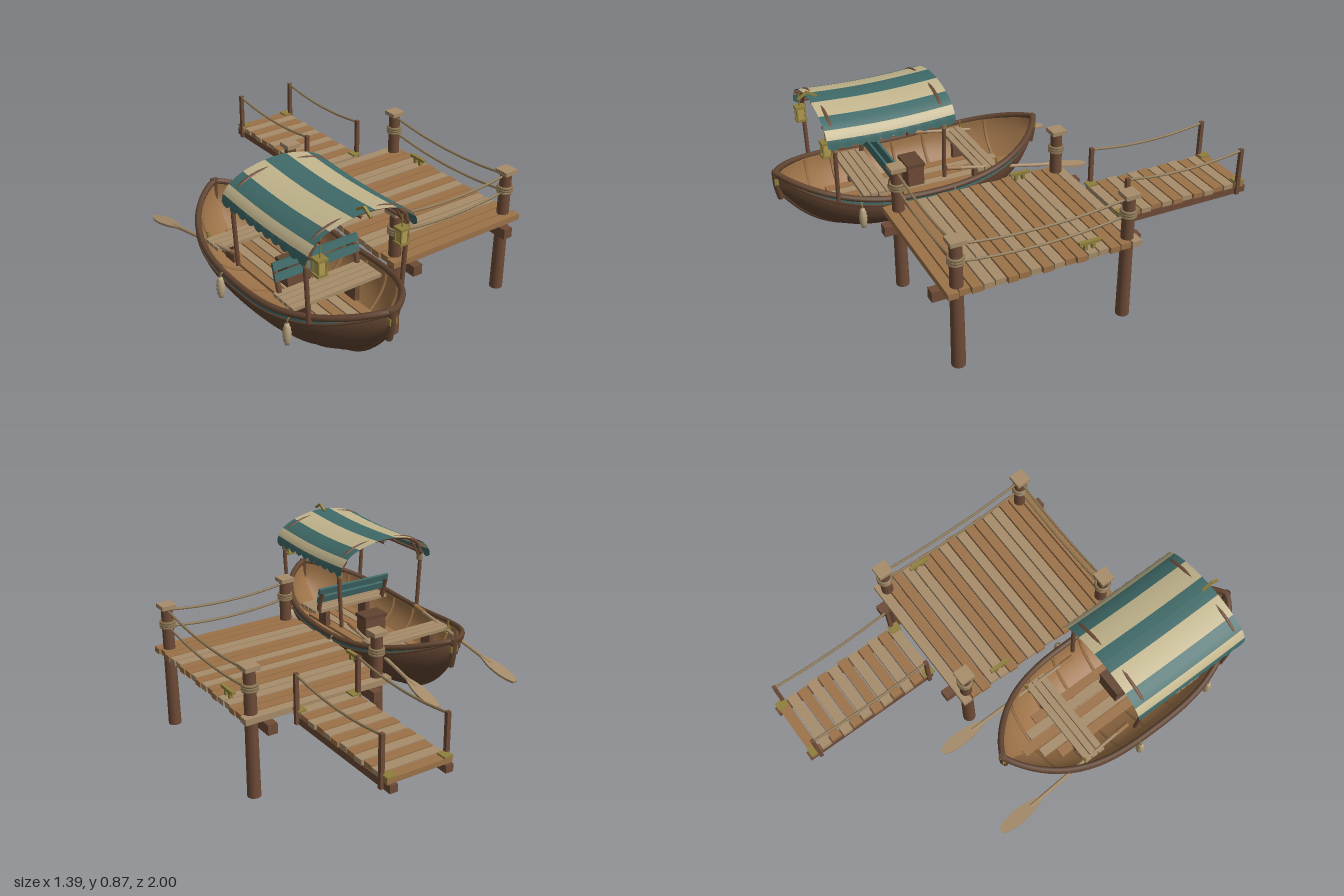
import * as THREE from 'three';

const mat = (name, color, side = THREE.FrontSide) => {
  const m = new THREE.MeshStandardMaterial({ color, side });
  m.name = name;
  return m;
};
const V = (x, y, z) => new THREE.Vector3(x, y, z);

export function createModel() {
  const D = THREE.DoubleSide;
  const post = mat('post wood', 0x6e4b37), hullWood = mat('hull wood', 0x614431, D);
  const warm = mat('warm plank', 0x9c7248, D), pale = mat('pale plank', 0xa68c6a);
  const teal = mat('teal', 0x3f6a68, D), cream = mat('cream cloth', 0xc2b58d, D);
  const brass = mat('brass', 0x8f7f3c), rope = mat('rope', 0x8c7653);
  const glass = mat('lantern glass', 0xb09c50), fenderMat = mat('fender rope', 0xb5a27f);

  const model = new THREE.Group();
  const add = (parent, name, geo, m, x = 0, y = 0, z = 0) => {
    const mesh = new THREE.Mesh(geo, m);
    mesh.name = name;
    mesh.position.set(x, y, z);
    parent.add(mesh);
    return mesh;
  };
  const box = (p, name, m, w, h, d, x, y, z) => add(p, name, new THREE.BoxGeometry(w, h, d), m, x, y, z);
  const tube = (p, name, m, pts, r, seg = 20, sides = 7) =>
    add(p, name, new THREE.TubeGeometry(new THREE.CatmullRomCurve3(pts), seg, r, sides), m);
  const sagRope = (p, a, b, sag) => {
    const mid = a.clone().lerp(b, 0.5);
    mid.y -= sag;
    const q = t => { const v = a.clone().lerp(b, t); v.y -= sag * 4 * t * (1 - t); return v; };
    tube(p, 'railRope', rope, [a, q(0.25), mid, q(0.75), b], 0.006);
  };
  // Surface from a rule f(u, v) with u and v running 0..1
  const grid = (p, name, m, nu, nv, f) => {
    const pos = [], idx = [];
    for (let i = 0; i <= nu; i++) for (let j = 0; j <= nv; j++) pos.push(...f(i / nu, j / nv).toArray());
    for (let i = 0; i < nu; i++) for (let j = 0; j < nv; j++) {
      const a = i * (nv + 1) + j, b = a + nv + 1;
      idx.push(a, b, a + 1, b, b + 1, a + 1);
    }
    const g = new THREE.BufferGeometry();
    g.setAttribute('position', new THREE.Float32BufferAttribute(pos, 3));
    g.setIndex(idx);
    g.computeVertexNormals();
    return add(p, name, g, m);
  };

  // ---- Dock ----
  const dock = new THREE.Group();
  dock.name = 'dock';
  model.add(dock);
  const tones = [pale, warm, warm, pale, pale, warm, warm, pale, warm];
  const N = 17, step = 0.9 / N;
  for (let i = 0; i < N; i++) {
    const edge = i === 0 || i === N - 1, w = edge ? 0.735 : 0.722 + 0.008 * (i % 3 - 1);
    box(dock, 'deckPlank', i === N - 1 ? warm : tones[i % 9], w, 0.028, step - 0.007, 0.322, 0.384, -0.3 + step * (i + 0.5));
  }
  for (const x of [0.057, 0.588]) box(dock, 'deckBeam', post, 0.046, 0.048, 0.975, x, 0.346, 0.147);
  for (const x of [0.005, 0.64]) for (const z of [-0.25, 0.54]) {
    add(dock, 'mooringPost', new THREE.CylinderGeometry(0.027, 0.031, 0.6, 14), post, x, 0.3, z);
    box(dock, 'postCap', pale, 0.07, 0.02, 0.07, x, 0.61, z);
    for (let k = 0; k < 3; k++)
      add(dock, 'postLashing', new THREE.TorusGeometry(0.031, 0.007, 6, 18).rotateX(Math.PI / 2), rope, x, 0.508 + k * 0.012, z);
  }
  for (const y of [0.59, 0.508]) {
    sagRope(dock, V(0.005, y, 0.54), V(0.64, y, 0.54), 0.024);
    sagRope(dock, V(0.64, y, 0.54), V(0.64, y, -0.25), 0.03);
  }
  for (const x of [0.0, 0.645]) {
    for (const z of [-0.08, -0.045]) box(dock, 'cleatFoot', brass, 0.016, 0.03, 0.014, x, 0.412, z);
    box(dock, 'cleatBar', brass, 0.018, 0.014, 0.1, x, 0.43, -0.062);
  }

  // ---- Gangway ----
  const gangway = new THREE.Group();
  gangway.name = 'gangway';
  model.add(gangway);
  for (let i = 0; i < 12; i++)
    box(gangway, 'gangwayPlank', i % 2 ? pale : warm, 0.308 - 0.008 * (i % 3), 0.024, 0.049, 0.321, 0.384, -0.962 + i * 0.0562);
  for (const x of [0.19, 0.453]) {
    const out = x < 0.3 ? 0.168 : 0.476;
    box(gangway, 'stringer', post, 0.036, 0.034, 0.68, x, 0.356, -0.66);
    for (const z of [-0.345, -0.95]) {
      box(gangway, 'railPost', post, 0.018, 0.235, 0.018, out, 0.458, z);
      box(gangway, 'cornerPlate', brass, 0.042, 0.008, 0.05, out < 0.3 ? 0.186 : 0.456, 0.4, z < -0.6 ? -0.965 : -0.337);
    }
    sagRope(gangway, V(out, 0.568, -0.345), V(out, 0.568, -0.95), 0.025);
  }

  // ---- Boat hull: double-ended, with lapped strakes ----
  const boat = new THREE.Group();
  boat.name = 'boat';
  boat.position.x = -0.372;
  model.add(boat);
  const beam = u => 0.285 * Math.pow(Math.max(0, 1 - Math.abs(u) ** 3), 0.8);
  const sheer = u => 0.385 + 0.115 * u * u;
  const keelY = u => 0.143 + 0.285 * Math.abs(u) ** 3.8;
  const zAt = u => 0.33 + 0.65 * u;
  const uAt = s => Math.sin((s - 0.5) * Math.PI);
  const section = (u, t, side, off) => {
    const a = t * Math.PI / 2, k = keelY(u) - off;
    const rise = 0.5 * (1 - Math.cos(a)) + 0.5 * t;
    return V(side * Math.max(0, beam(u) + off) * Math.sin(a), k + (sheer(u) - k) * rise, zAt(u));
  };
  const edges = [0, 0.16, 0.31, 0.45, 0.58, 0.7, 0.82, 0.92, 1];
  for (const s of [-1, 1]) {
    for (let j = 0; j < 8; j++) {
      const t0 = Math.max(0, edges[j] - 0.012), t1 = edges[j + 1];
      grid(boat, j === 7 ? 'paintedStrake' : 'strake', j === 7 ? teal : hullWood, 44, 3,
        (a, v) => section(uAt(a), t0 + (t1 - t0) * v, s, 0.008 * (1 - v)));
    }
    grid(boat, 'hullLining', warm, 44, 12, (a, v) => section(uAt(a), v, s, -0.016));
    const rim = [], rub = [];
    for (let i = 0; i <= 30; i++) {
      const u = uAt(i / 30);
      rim.push(section(u, 1, s, -0.002).add(V(0, 0.002, 0)));
      rub.push(section(u, 0.915, s, 0.007));
    }
    tube(boat, 'gunwale', hullWood, rim, 0.014, 70, 8);
    tube(boat, 'rubbingStrip', hullWood, rub, 0.006, 60, 5);
    for (const u of [-0.72, -0.5, -0.25, 0, 0.25, 0.5, 0.72])
      tube(boat, 'rib', warm, [0.05, 0.3, 0.55, 0.8, 0.98].map(t => section(u, t, s, -0.018)), 0.008, 12, 5);
  }
  const keelPts = [];
  for (let i = 0; i <= 30; i++) { const u = uAt(i / 30); keelPts.push(V(0, keelY(u) - 0.003, zAt(u))); }
  tube(boat, 'keel', hullWood, keelPts, 0.012, 60, 6);
  for (const e of [-1, 1]) {
    tube(boat, 'stemPost', hullWood, [V(0, 0.37, 0.33 + e * 0.637), V(0, 0.44, 0.33 + e * 0.65), V(0, 0.51, 0.33 + e * 0.652)], 0.016, 8, 8);
    box(boat, 'stemCap', hullWood, 0.032, 0.012, 0.026, 0, 0.507, 0.33 + e * 0.648);
    box(boat, 'stemFitting', brass, 0.036, 0.03, 0.02, 0, 0.462, 0.33 + e * 0.652);
  }

  // ---- Floorboards, seats and chest ----
  for (let i = -2; i <= 2; i++)
    box(boat, 'floorboard', i % 2 ? pale : warm, 0.044, 0.014, 1.06 - 0.13 * Math.abs(i), i * 0.05, 0.295, 0.33);
  const seat = (z, n, w) => {
    for (let k = 0; k < n; k++) box(boat, 'seatSlat', pale, w, 0.016, 0.031, 0, 0.405, z + (k - (n - 1) / 2) * 0.036);
    for (const s of [-1, 1]) box(boat, 'seatLeg', post, 0.025, 0.1, 0.07, s * w * 0.28, 0.35, z);
  };
  seat(0.03, 3, 0.45);
  seat(0.575, 4, 0.44);
  for (const [y, z] of [[0.475, 0.5], [0.52, 0.488]])
    box(boat, 'backrestSlat', teal, 0.42, 0.034, 0.014, 0, y, z).rotation.x = -0.25;
  for (const s of [-1, 1])
    tube(boat, 'backrestStanchion', post, [V(s * 0.195, 0.4, 0.515), V(s * 0.197, 0.46, 0.5), V(s * 0.195, 0.515, 0.48)], 0.012, 8, 8);
  box(boat, 'chest', post, 0.12, 0.1, 0.08, 0, 0.35, 0.33);
  box(boat, 'chestLid', hullWood, 0.13, 0.018, 0.09, 0, 0.408, 0.33);

  // ---- Canopy frame and striped cloth ----
  const canopy = new THREE.Group();
  canopy.name = 'canopy';
  boat.add(canopy);
  for (const z of [0.255, 0.765]) {
    const half = [[0.228, 0.42], [0.236, 0.56], [0.24, 0.7], [0.222, 0.765], [0.15, 0.808]];
    const pts = half.map(([x, y]) => V(-x, y, z));
    pts.push(V(0, 0.824, z), ...half.map(([x, y]) => V(x, y, z)).reverse());
    tube(canopy, 'canopyHoop', post, pts, 0.01, 50, 8);
    for (const s of [-1, 1]) {
      tube(canopy, 'hoopBrace', post, [V(s * 0.238, 0.69, z), V(s * 0.215, 0.73, z), V(s * 0.18, 0.79, z)], 0.006, 8, 6);
      add(canopy, 'hoopLashing', new THREE.CylinderGeometry(0.015, 0.015, 0.025, 10), rope, s * 0.239, 0.69, z);
    }
  }
  for (const [x, y] of [[-0.236, 0.72], [0, 0.815], [0.236, 0.72]])
    tube(canopy, 'canopyRail', post, [V(x, y, 0.22), V(x, y - 0.004, 0.5), V(x, y, 0.79)], 0.007, 8, 6);
  const profile = new THREE.CatmullRomCurve3([V(0, 0.84, 0), V(0.053, 0.837, 0), V(0.158, 0.814, 0),
    V(0.227, 0.778, 0), V(0.256, 0.742, 0), V(0.264, 0.71, 0)]);
  for (const s of [-1, 1]) for (let k = 0; k < 5; k++)
    grid(canopy, k === 4 ? 'canopyValance' : 'canopyStripe', k % 2 ? cream : teal, 60, 4, (w, v) => {
      const p = profile.getPoint((k + v) / 5);
      const scallop = k === 4 ? 0.016 * v * Math.abs(Math.sin(w * Math.PI * 10)) : 0;
      return V(s * p.x, p.y - 0.012 * Math.sin(Math.PI * w) * (k === 4 ? 1 - v : 1) - scallop, 0.205 + 0.595 * w);
    });
  for (const e of [-1, 1])
    box(canopy, 'roofFinial', brass, 0.012, 0.01, 0.05, 0, 0.853, 0.8 + e * 0.02).rotation.x = e * 0.55;

  // ---- Lanterns ----
  for (const s of [-1, 1]) {
    const lantern = new THREE.Group();
    lantern.name = 'lantern';
    lantern.position.set(s * 0.196, 0.675, 0.79);
    canopy.add(lantern);
    box(lantern, 'lanternGlass', glass, 0.034, 0.056, 0.034, 0, 0, 0);
    for (const y of [-0.032, 0.032]) box(lantern, 'lanternPlate', brass, 0.048, 0.01, 0.048, 0, y, 0);
    for (const x of [-1, 1]) for (const z of [-1, 1]) box(lantern, 'lanternBar', brass, 0.006, 0.06, 0.006, x * 0.018, 0, z * 0.018);
    add(lantern, 'lanternHanger', new THREE.CylinderGeometry(0.003, 0.003, 0.07, 6), brass, 0, 0.07, 0);
    box(lantern, 'lanternBracket', post, 0.012, 0.01, 0.05, 0, 0.105, -0.015);
  }

  // ---- Oars ----
  const blade = new THREE.Shape();
  blade.moveTo(-0.012, 0);
  blade.lineTo(0.012, 0);
  blade.bezierCurveTo(0.034, 0.04, 0.045, 0.13, 0.009, 0.23);
  blade.lineTo(-0.009, 0.23);
  blade.bezierCurveTo(-0.045, 0.13, -0.034, 0.04, -0.012, 0);
  for (const s of [-1, 1]) {
    const oar = new THREE.Group();
    oar.name = 'oar';
    oar.position.set(s * 0.228, 0.305, -0.5);
    oar.quaternion.setFromUnitVectors(V(0, 1, 0), V(-s * 0.035, 0.185, 0.98).normalize());
    boat.add(oar);
    add(oar, 'oarBlade', new THREE.ExtrudeGeometry(blade, { depth: 0.01, bevelEnabled: false }), pale, 0, 0, -0.005);
    add(oar, 'oarShaft', new THREE.CylinderGeometry(0.008, 0.009, 0.56, 8), pale, 0, 0.45, 0);
    add(oar, 'oarGrip', new THREE.CylinderGeometry(0.011, 0.011, 0.07, 8), warm, 0, 0.71, 0);
    add(boat, 'oarlock', new THREE.TorusGeometry(0.016, 0.005, 6, 14), brass, s * 0.211, 0.396, -0.02);
    add(boat, 'oarlockPin', new THREE.CylinderGeometry(0.005, 0.005, 0.05, 6), brass, s * 0.214, 0.42, -0.02);
  }

  // ---- Rope fenders ----
  const rings = [V(0, -0.052, 0)];
  for (let k = 0; k <= 10; k++) {
    const r = 0.02 * Math.sqrt(Math.sin(Math.PI * (k + 1) / 12)) * (k % 2 ? 0.8 : 1);
    rings.push(V(r, -0.048 + k * 0.0096, 0));
  }
  rings.push(V(0, 0.052, 0));
  const fender = new THREE.LatheGeometry(rings.map(p => new THREE.Vector2(p.x, p.y)), 12);
  for (const s of [-1, 1]) for (const [x, z, top] of [[0.306, 0.235, 0.39], [0.266, 0.67, 0.42]]) {
    add(boat, 'fender', fender, fenderMat, s * x, 0.328, z);
    tube(boat, 'fenderLine', rope, [V(s * x, 0.37, z), V(s * (x - 0.005), 0.395, z), V(s * (x - 0.03), top, z)], 0.004, 8, 5);
  }
  return model;
}
